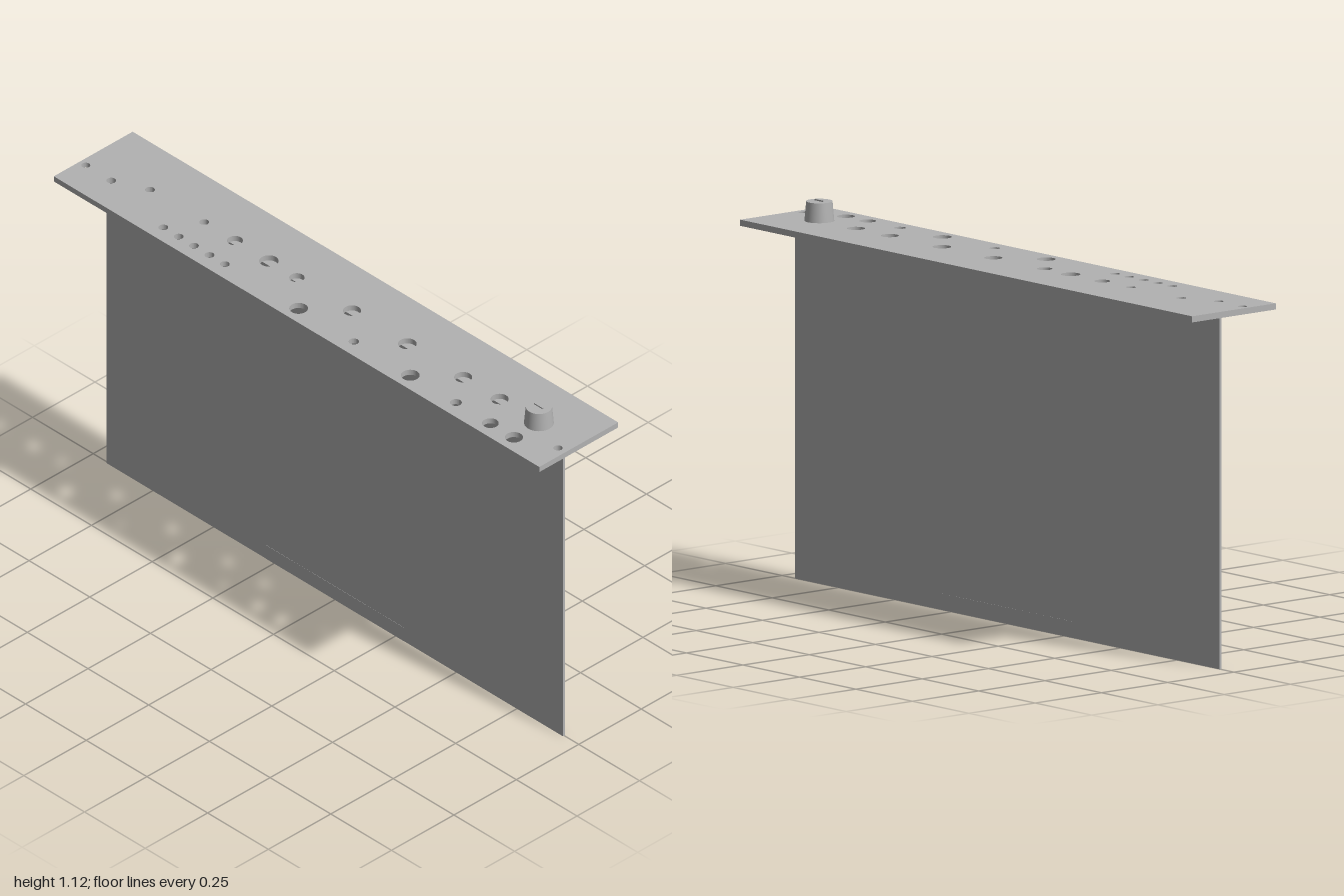
import * as THREE from 'three';

export function createModel() {
  const model = new THREE.Group();
  model.name = 'controlPanelModule';
  const grey = new THREE.MeshStandardMaterial({ color: 0xb2b2b2 });
  grey.name = 'plain grey';

  const add = (name, geometry, x, y, z) => {
    const mesh = new THREE.Mesh(geometry, grey);
    mesh.name = name;
    mesh.position.set(x, y, z);
    model.add(mesh);
    return mesh;
  };
  // Box given by its lower and upper corners
  const addBox = (name, [x0, y0, z0], [x1, y1, z1]) =>
    add(name, new THREE.BoxGeometry(x1 - x0, y1 - y0, z1 - z0),
      (x0 + x1) / 2, (y0 + y1) / 2, (z0 + z1) / 2);

  // Faceplate holes by column: x, then [z, radius] pairs
  const columns = [
    [-0.054, [[-0.975, 0.013], [-0.87, 0.014], [0.97, 0.013]]],
    [-0.108, [[-0.6, 0.014], [-0.537, 0.014], [-0.474, 0.014], [-0.41, 0.014], [-0.347, 0.014],
      [-0.043, 0.027], [0.185, 0.015], [0.417, 0.027], [0.605, 0.017], [0.747, 0.024], [0.844, 0.026]]],
    [-0.006, [[-0.76, 0.014], [-0.537, 0.014], [-0.41, 0.023], [-0.27, 0.028], [-0.155, 0.022],
      [0.072, 0.026], [0.3, 0.027], [0.53, 0.026], [0.68, 0.026]]],
  ];
  const W = 0.158;
  const plate = new THREE.Shape([[-W, -1], [W, -1], [W, 1], [-W, 1]].map(p => new THREE.Vector2(...p)));
  for (const [x, holes] of columns) {
    for (const [z, r] of holes) {
      plate.holes.push(new THREE.Path().absarc(x, -z, r, 0, Math.PI * 2, true));
    }
  }
  const plateGeometry = new THREE.ExtrudeGeometry(plate, { depth: 0.018, bevelEnabled: false, curveSegments: 24 });
  plateGeometry.rotateX(-Math.PI / 2);
  add('faceplate', plateGeometry, 0, 1.04, 0);

  // Upright circuit board and the mounting flange under the plate
  addBox('circuitBoard', [-0.005, 0, -0.94], [0.003, 1.04, 0.94]);
  addBox('mountingFlange', [-0.005, 1.03, -0.94], [0.078, 1.04, 0.94]);
  // Edge connector, barely proud of both board faces
  addBox('edgeConnector', [-0.0056, 0, -0.285], [0.0036, 0.048, 0.285]);

  // Tapered knob with a raised pointer line
  const knobX = -0.006, knobZ = 0.842;
  add('knob', new THREE.CylinderGeometry(0.038, 0.043, 0.057, 40), knobX, 1.0865, knobZ);
  add('knobPointer', new THREE.BoxGeometry(0.005, 0.004, 0.036), knobX, 1.117, knobZ);

  return model;
}
